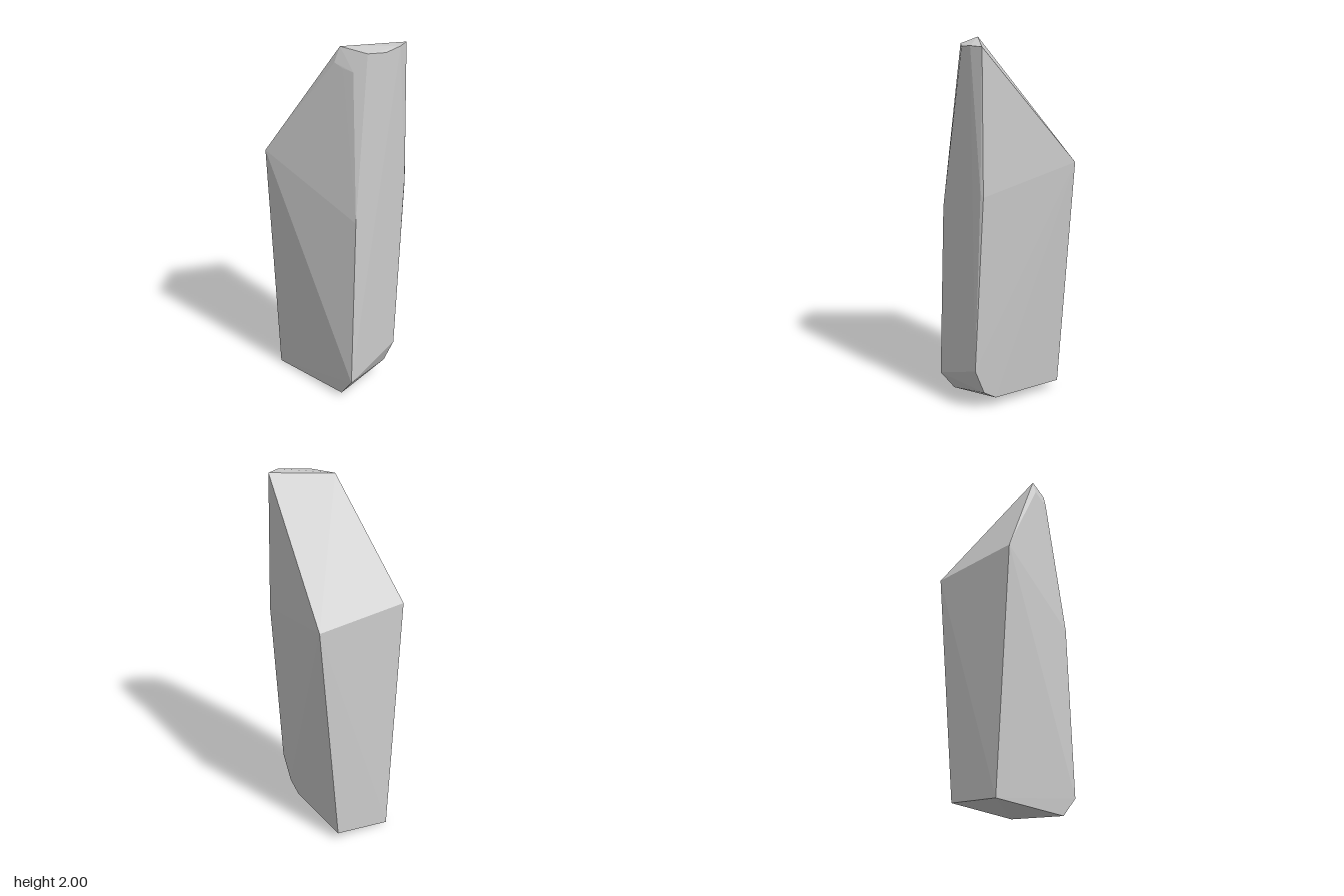
import * as THREE from 'three';
import { ConvexGeometry } from 'three/addons/geometries/ConvexGeometry.js';

// Faceted standing stone, described by the corners of its chiselled planes
const corners = {
  base: [[-0.178, 0, -0.298], [0.14, 0.045, -0.292], [0.14, 0.055, 0.14], [-0.172, 0.02, 0.2]],
  lowerFront: [[0.142, 0.105, 0.22], [0.15, 0.25, 0.284], [-0.18, 0.13, 0.285]],
  shoulders: [[-0.26, 1.37, -0.29], [0.258, 1.34, -0.298]],
  frontEdges: [[-0.145, 1.1, 0.276], [0.218, 1.23, 0.275], [0.205, 1.25, 0.284]],
  chippedCorner: [[-0.11, 1.92, 0.08], [-0.1, 1.9, 0.13], [-0.085, 1.89, 0.19]],
  top: [[-0.08, 2, 0.09], [-0.03, 1.985, 0.235], [0.05, 1.985, 0.285], [0.14, 2, 0.296], [0.208, 2, 0.272]],
};

export function createModel() {
  const group = new THREE.Group();
  group.name = 'standingStone';

  const points = Object.values(corners).flat().map((p) => new THREE.Vector3(...p));
  const material = new THREE.MeshStandardMaterial({ color: 0xcccccc, flatShading: true });
  const stone = new THREE.Mesh(new ConvexGeometry(points), material);
  stone.name = 'stone';
  group.add(stone);

  return group;
}
